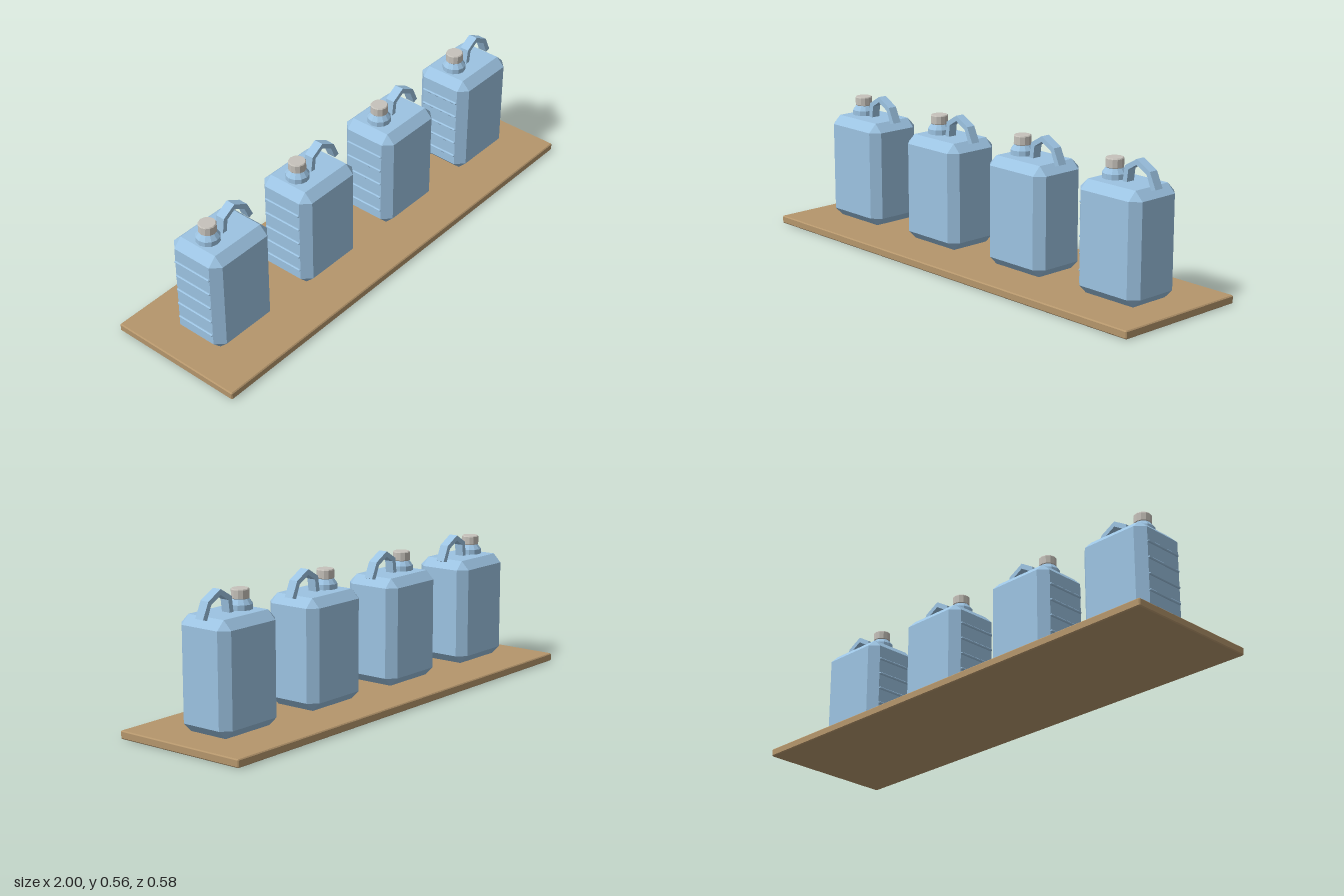
import * as THREE from 'three';
import { ConvexGeometry } from 'three/addons/geometries/ConvexGeometry.js';

const material = (name, color, flatShading = true) => {
  const m = new THREE.MeshStandardMaterial({ color, flatShading });
  m.name = name;
  return m;
};

// Box with every edge cut at 45 degrees, centred on the origin
function chamferBox(w, h, d, c) {
  const points = [];
  for (const x of [-1, 1]) for (const y of [-1, 1]) for (const z of [-1, 1]) {
    for (const a of [0, 1, 2]) {
      points.push(new THREE.Vector3(
        x * (w / 2 - (a === 0 ? 0 : c)),
        y * (h / 2 - (a === 1 ? 0 : c)),
        z * (d / 2 - (a === 2 ? 0 : c))));
    }
  }
  return new ConvexGeometry(points);
}

const lathe = (profile, sides) =>
  new THREE.LatheGeometry(profile.map(([r, y]) => new THREE.Vector2(r, y)), sides);

export function createModel() {
  const group = new THREE.Group();
  const wood = material('wood', 0xb5966c);
  const plastic = material('bluePlastic', 0x9cc3e2);
  const capGrey = material('capGrey', 0xc6c2bb);

  const add = (parent, name, geometry, mat, x = 0, y = 0, z = 0) => {
    const mesh = new THREE.Mesh(geometry, mat);
    mesh.name = name;
    mesh.position.set(x, y, z);
    parent.add(mesh);
  };

  // Shelf board
  add(group, 'shelf', chamferBox(2, 0.032, 0.58, 0.004), wood, 0, 0.016, 0);

  // Shared jug geometries
  const bodyGeo = chamferBox(0.306, 0.436, 0.242, 0.035);
  const neckGeo = lathe([[0, 0.46], [0.047, 0.46], [0.047, 0.488], [0.032, 0.508], [0, 0.508]], 12);
  const capGeo = lathe([[0, 0.507], [0.032, 0.507], [0.035, 0.51], [0.035, 0.541], [0.032, 0.545], [0, 0.545]], 12);
  const ribGeo = chamferBox(0.014, 0.01, 0.172, 0.003);

  // Angular arched handle: outer outline, then back along the inner one
  const handleGeo = new THREE.ExtrudeGeometry(new THREE.Shape([
    [-0.007, 0.462], [0.002, 0.528], [0.059, 0.562], [0.124, 0.526], [0.153, 0.464],
    [0.132, 0.458], [0.109, 0.512], [0.059, 0.54], [0.02, 0.516], [0.013, 0.46],
  ].map(([x, y]) => new THREE.Vector2(x, y)).reverse()), { depth: 0.038, bevelEnabled: false });
  handleGeo.translate(0, 0, -0.019);

  // Row of four jugs
  for (let i = 0; i < 4; i++) {
    const jug = new THREE.Group();
    jug.name = `jug${i + 1}`;
    jug.position.x = -0.727 + i * 0.484;
    add(jug, 'body', bodyGeo, plastic, 0, 0.25, 0);
    add(jug, 'neck', neckGeo, plastic, -0.064, 0, 0);
    add(jug, 'cap', capGeo, capGrey, -0.064, 0, 0);
    add(jug, 'handle', handleGeo, plastic);
    // Grip ribs on the side under the cap
    for (let r = 0; r < 5; r++) add(jug, 'rib', ribGeo, plastic, -0.152, 0.11 + r * 0.066, 0);
    group.add(jug);
  }
  return group;
}
